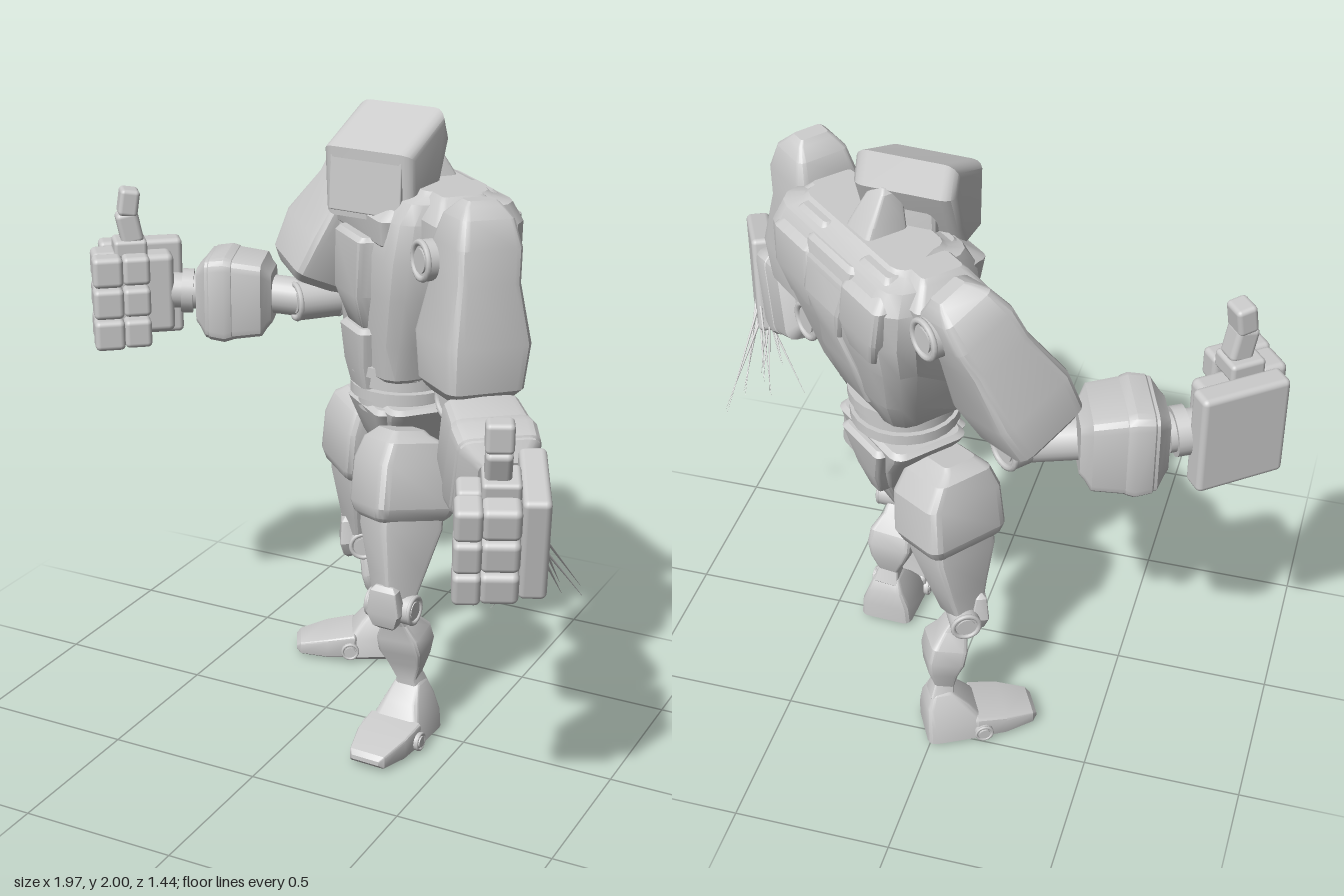
import * as THREE from 'three';
import { toCreasedNormals } from 'three/addons/utils/BufferGeometryUtils.js';
import { RoundedBoxGeometry } from 'three/addons/geometries/RoundedBoxGeometry.js';

const mat = new THREE.MeshStandardMaterial({ color: 0xcccccc });
const V = (p) => new THREE.Vector3(...p);
const UP = [0, 1, 0];

function add(parent, name, geo) {
  const m = new THREE.Mesh(geo, mat);
  m.name = name;
  parent.add(m);
  return m;
}

// Rounded-rectangle loft. Section: [y, halfWidth, zFront, zBack, frontWidthScale, xOffset]
function loft(parent, name, secs, round = 0.3) {
  const bevel = 0.014;
  const inset = (s) => [s[0], s[1] - bevel, s[2] - bevel, s[3] + bevel, s[4], s[5]];
  const a = secs[0], b = secs[secs.length - 1];
  const all = [inset(a), [a[0] + bevel, ...a.slice(1)], ...secs.slice(1, -1), [b[0] - bevel, ...b.slice(1)], inset(b)];
  const rings = all.map(([y, w, zf, zb, fs = 1, x0 = 0]) => {
    const r = round * Math.min(w, (zf - zb) / 2), ring = [];
    for (let q = 0; q < 4; q++) {
      const sx = q === 0 || q === 3 ? 1 : -1, front = q < 2;
      for (let k = 0; k < 4; k++) {
        const t = (q + k / 3) * Math.PI / 2;
        const x = (sx * (w - r) + r * Math.cos(t)) * (front ? fs : 1);
        const z = (front ? zf - r : zb + r) + r * Math.sin(t);
        ring.push([x + x0, y, z]);
      }
    }
    return ring;
  });
  const pos = [], n = 16, tri = (...p) => p.forEach((v) => pos.push(...v));
  const mid = (r) => [0, 1, 2].map((c) => r.reduce((s, p) => s + p[c], 0) / n);
  const lo = rings[0], hi = rings[rings.length - 1];
  for (let i = 0; i < n; i++) {
    const j = (i + 1) % n;
    for (let k = 0; k + 1 < rings.length; k++) {
      const p = rings[k], u = rings[k + 1];
      tri(p[i], u[i], u[j]);
      tri(p[i], u[j], p[j]);
    }
    tri(mid(lo), lo[i], lo[j]);
    tri(mid(hi), hi[j], hi[i]);
  }
  const g = new THREE.BufferGeometry();
  g.setAttribute('position', new THREE.Float32BufferAttribute(pos, 3));
  return add(parent, name, toCreasedNormals(g, 0.5));
}

// Frame with y running from a to b and z towards fwd
function frame(a, b, fwd) {
  const y = V(b).sub(V(a)).normalize();
  const x = y.clone().cross(V(fwd)).normalize();
  return new THREE.Matrix4().makeBasis(x, y, x.clone().cross(y)).setPosition(V(a));
}
// Loft along a limb; section heights are fractions of its length
function bone(parent, name, a, b, fwd, secs) {
  const len = V(a).distanceTo(V(b));
  const m = loft(parent, name, secs.map(([t, ...rest]) => [t * len, ...rest]));
  m.applyMatrix4(frame(a, b, fwd));
}
function rod(parent, name, a, b, r, r2 = r) {
  const len = V(a).distanceTo(V(b));
  const g = new THREE.CylinderGeometry(r2, r, len, 24).translate(0, len / 2, 0);
  const fwd = Math.abs(b[2] - a[2]) > 0.9 * len ? UP : [0, 0, 1];
  add(parent, name, g).applyMatrix4(frame(a, b, fwd));
}
// Pivot disc with a raised rim and hub on both faces
function pivot(parent, name, c, axis, r, len) {
  const d = V(axis).normalize(), at = (k) => V(c).addScaledVector(d, k * len).toArray();
  rod(parent, name, at(-0.5), at(0.5), r);
  rod(parent, name + 'Hub', at(-0.53), at(0.53), r * 0.6);
  for (const k of [-0.5, 0.5]) {
    const rim = add(parent, name + 'Rim', new THREE.TorusGeometry(r * 0.88, r * 0.16, 8, 24));
    rim.position.set(...at(k));
    rim.quaternion.setFromUnitVectors(new THREE.Vector3(0, 0, 1), d);
  }
}
function box(parent, name, size, pos, rx = 0) {
  const m = add(parent, name, new RoundedBoxGeometry(...size, 3, Math.min(...size) * 0.22));
  m.position.set(...pos);
  m.rotation.x = rx;
}

function buildTorso(root) {
  const g = new THREE.Group();
  g.name = 'torso';
  g.position.set(0.18, 0, -0.25);
  g.rotation.y = -0.71;
  root.add(g);
  loft(g, 'chest', [[1.17, 0.18, 0.17, -0.11], [1.3, 0.235, 0.18, -0.16, 0.9], [1.46, 0.3, 0.19, -0.2, 0.82, 0.01],
    [1.58, 0.34, 0.19, -0.23, 0.75, 0.02], [1.7, 0.35, 0.17, -0.225, 0.73, 0.02], [1.76, 0.33, 0.13, -0.19, 0.75, 0.02],
    [1.79, 0.28, 0.08, -0.14, 0.8, 0.02]], 0.5);
  // Keel-shaped breast plate and the collar above it
  loft(g, 'breastPlate', [[1.32, 0.14, 0.2, 0.02, 0.45], [1.44, 0.21, 0.235, 0, 0.45], [1.63, 0.23, 0.23, 0, 0.45]]);
  loft(g, 'collarPlate', [[1.61, 0.25, 0.19, 0, 0.75], [1.7, 0.27, 0.2, -0.05, 0.75], [1.77, 0.22, 0.13, -0.08, 0.8]]);
  for (const s of [-1, 1]) {
    loft(g, 'shoulderPlate', [[1.6, 0.07, 0.1, -0.12, 1, s * 0.29 + 0.01], [1.72, 0.075, 0.1, -0.14, 1, s * 0.295 + 0.01],
      [1.79, 0.06, 0.06, -0.1, 1, s * 0.26]]);
    loft(g, 'upperBackPlate', [[1.5, 0.07, -0.08, -0.22, 1, s * 0.17], [1.6, 0.1, -0.08, -0.24, 1, s * 0.18],
      [1.71, 0.1, -0.08, -0.23, 1, s * 0.19], [1.78, 0.08, -0.06, -0.17, 1, s * 0.17]]);
  }
  loft(g, 'spinePlate', [[1.24, 0.09, -0.03, -0.15], [1.4, 0.1, -0.05, -0.2], [1.5, 0.06, -0.05, -0.225],
    [1.6, 0.11, -0.05, -0.245], [1.76, 0.13, -0.05, -0.21]]);
  loft(g, 'backFin', [[1.7, 0.08, 0.02, -0.16], [1.82, 0.055, 0.02, -0.1], [1.915, 0.035, 0.02, -0.05]]);
  loft(g, 'abdomenPlate', [[1.1, 0.06, 0.19, 0.05], [1.2, 0.075, 0.21, 0.05], [1.33, 0.09, 0.22, 0.05]]);
  [[1.19, 0.175], [1.15, 0.16], [1.11, 0.17]].forEach(([y, r]) =>
    rod(g, 'waistRing', [0, y - 0.017, 0.03], [0, y + 0.017, 0.03], r));
  rod(g, 'waistCore', [0, 1.04, 0.03], [0, 1.22, 0.03], 0.145);
  loft(g, 'pelvis', [[0.84, 0.045, 0.06, -0.06], [0.95, 0.09, 0.11, -0.09], [1.04, 0.165, 0.14, -0.11],
    [1.08, 0.18, 0.145, -0.115]]);
  loft(g, 'pelvisFrontPlate', [[0.85, 0.045, 0.09, 0], [0.95, 0.08, 0.14, 0], [1.07, 0.13, 0.175, 0]]);
  loft(g, 'pelvisBackPlate', [[0.83, 0.03, 0, -0.09], [0.93, 0.06, 0, -0.12], [1.06, 0.11, 0, -0.14]]);
}

function buildHead(root) {
  const g = new THREE.Group();
  g.name = 'head';
  g.position.set(0.125, 0, -0.165);
  g.rotation.y = -0.08;
  root.add(g);
  const profile = new THREE.Shape([[0.09, 1.72], [0.1, 1.88], [-0.07, 1.96], [-0.09, 1.91], [-0.04, 1.79], [-0.01, 1.73]]
    .map((p) => new THREE.Vector2(...p)));
  const helmet = new THREE.ExtrudeGeometry(profile, { depth: 0.23, bevelSize: 0.033, bevelThickness: 0.04, bevelSegments: 4 });
  helmet.translate(0, 0, -0.115).rotateY(-Math.PI / 2);
  add(g, 'helmet', toCreasedNormals(helmet, 0.6));
  box(g, 'visor', [0.25, 0.17, 0.02], [0, 1.79, 0.126], -0.05);
  loft(g, 'cranium', [[1.66, 0.08, 0.05, -0.1], [1.8, 0.09, 0.05, -0.1], [1.92, 0.08, 0.05, -0.09]]);
}

// Fist with raised thumb: local z runs to the knuckles, y to the thumb, s gives the palm side
function buildHand(root, name, c, d, s) {
  const g = new THREE.Group();
  g.name = name;
  const z = V(d).normalize(), x = V(UP).cross(z).normalize();
  g.applyMatrix4(new THREE.Matrix4().makeBasis(x, z.clone().cross(x), z).setPosition(V(c)));
  root.add(g);
  box(g, 'handBackPlate', [0.08, 0.33, 0.28], [-s * 0.045, 0, 0]);
  box(g, 'palm', [0.1, 0.27, 0.2], [s * 0.03, 0, 0]);
  for (let i = 0; i < 3; i++) {
    const y = (i - 1) * 0.108;
    box(g, 'fingerBase', [0.11, 0.1, 0.09], [s * 0.05, y, 0.13]);
    box(g, 'fingerMiddle', [0.08, 0.102, 0.1], [s * 0.14, y, 0.13]);
    box(g, 'fingerTip', [0.075, 0.096, 0.09], [s * 0.135, y, 0.035]);
  }
  box(g, 'thumbBase', [0.11, 0.06, 0.11], [s * 0.05, 0.165, 0.045]);
  box(g, 'thumbMiddle', [0.075, 0.11, 0.075], [s * 0.06, 0.235, 0.045], 0.2);
  box(g, 'thumbTip', [0.08, 0.09, 0.065], [s * 0.06, 0.32, 0.045], -0.15);
}

function buildArm(root, side, p) {
  const F = [-0.65, 0, 0.76];
  pivot(root, side + 'ShoulderPivot', p.shoulder, F, 0.062, 0.2);
  rod(root, side + 'ShoulderAxle', p.socket, p.shoulder, 0.062);
  bone(root, side + 'UpperArm', p.armLow, p.armTop, F, [[0, 0.105, 0.11, -0.11], [0.06, 0.125, 0.125, -0.125],
    [0.3, 0.14, 0.135, -0.135], [0.6, 0.105, 0.105, -0.105], [0.78, 0.105, 0.105, -0.105], [0.92, 0.075, 0.085, -0.085],
    [1, 0.04, 0.06, -0.06]]);
  rod(root, side + 'ElbowLink', p.armLow, p.elbow, 0.06);
  pivot(root, side + 'ElbowPivot', p.elbow, F, 0.065, 0.15);
  rod(root, side + 'ElbowAxle', p.elbow, p.foreA, 0.065);
  bone(root, side + 'Forearm', p.foreA, p.foreB, UP, [[0, 0.09, 0.1, -0.1], [0.12, 0.115, 0.125, -0.125],
    [0.5, 0.122, 0.138, -0.138], [0.85, 0.12, 0.135, -0.135], [1, 0.085, 0.105, -0.105]]);
  bone(root, side + 'ForearmBand', p.foreA, p.foreB, UP, [[0.45, 0.124, 0.14, -0.14], [0.6, 0.13, 0.147, -0.147],
    [0.85, 0.125, 0.14, -0.14]]);
  rod(root, side + 'Wrist', p.foreB, p.hand, 0.06);
  const at = (t) => V(p.foreB).lerp(V(p.hand), t).toArray();
  rod(root, side + 'WristRing', at(0.1), at(0.3), 0.075);
}

function buildLeg(root, side, hip, knee, ankle, fwd) {
  const thighFwd = [-0.6, 0, 0.8];
  rod(root, side + 'HipJoint', [0.17, 0.95, -0.23], [hip[0], 0.92, hip[2]], 0.06);
  bone(root, side + 'Thigh', knee, hip, thighFwd, [[0, 0.055, 0.05, -0.05], [0.2, 0.068, 0.07, -0.08],
    [0.45, 0.09, 0.1, -0.12], [0.7, 0.09, 0.1, -0.12]]);
  bone(root, side + 'ThighArmor', knee, hip, thighFwd, [[0.5, 0.1, 0.12, -0.14], [0.58, 0.115, 0.13, -0.155],
    [0.82, 0.112, 0.125, -0.145], [0.94, 0.1, 0.1, -0.1], [1, 0.075, 0.08, -0.06]]);
  const f = V(fwd).normalize(), axis = V(UP).cross(f).toArray();
  pivot(root, side + 'KneePivot', knee, axis, 0.048, 0.15);
  const plate = (dy, k) => V(knee).addScaledVector(f, k).add(V([0, dy, 0])).toArray();
  bone(root, side + 'KneePlate', plate(-0.06, 0.045), plate(0.09, 0.06), fwd,
    [[0, 0.04, 0.02, -0.02], [0.4, 0.058, 0.028, -0.03], [1, 0.045, 0.015, -0.02]]);
  bone(root, side + 'Shin', ankle, knee, fwd, [[-0.1, 0.045, 0.04, -0.04], [0.1, 0.035, 0.03, -0.035],
    [0.28, 0.06, 0.025, -0.07], [0.45, 0.077, 0.035, -0.085], [0.62, 0.074, 0.035, -0.085], [0.8, 0.045, 0.025, -0.055],
    [1, 0.04, 0.035, -0.035]]);
  const g = new THREE.Group();
  g.name = side + 'Foot';
  g.position.set(ankle[0], 0, ankle[2]);
  g.rotation.y = Math.atan2(fwd[0], fwd[2]);
  root.add(g);
  loft(g, 'heel', [[0.005, 0.09, 0.13, -0.06], [0.08, 0.085, 0.125, -0.06], [0.14, 0.062, 0.08, -0.055],
    [0.2, 0.045, 0.035, -0.035]]);
  bone(g, 'toe', [0, 0.05, 0.09], [0, 0.05, 0.305], UP, [[0, 0.092, 0.05, -0.035], [0.5, 0.087, 0.035, -0.035],
    [1, 0.062, 0.012, -0.03]]);
  pivot(g, 'toeHinge', [0, 0.045, 0.12], [1, 0, 0], 0.03, 0.2);
}

export function createModel() {
  const root = new THREE.Group();
  root.name = 'robot';
  buildTorso(root);
  buildHead(root);

  const right = { socket: [0, 1.66, -0.41], shoulder: [-0.1, 1.69, -0.57], armLow: [-0.31, 1.33, -0.49],
    armTop: [-0.09, 1.83, -0.6], elbow: [-0.28, 1.26, -0.47], foreA: [-0.42, 1.27, -0.43],
    foreB: [-0.66, 1.27, -0.34], hand: [-0.83, 1.28, -0.25] };
  const left = { socket: [0.36, 1.64, -0.08], shoulder: [0.45, 1.64, 0.07], armLow: [0.54, 1.25, 0.12],
    armTop: [0.54, 1.83, 0.09], elbow: [0.5, 1.21, 0.04], foreA: [0.57, 1.17, 0.15],
    foreB: [0.75, 1.08, 0.38], hand: [0.84, 1.03, 0.475] };
  buildArm(root, 'right', right);
  buildArm(root, 'left', left);
  buildHand(root, 'rightHand', right.hand, [-0.78, 0, 0.63], 1);
  buildHand(root, 'leftHand', left.hand, [0.42, -0.22, 0.88], -1);

  // Fine bristles trailing from the left hand
  for (let i = 0; i < 12; i++) {
    const a = [0.9 - (i % 4) * 0.02, 0.92 + (i % 3) * 0.06, 0.44 - (i % 2) * 0.05];
    const b = [0.7 + ((i * 5) % 12) * 0.02, 0.66 + ((i * 7) % 12) * 0.015, 0.3 - ((i * 3) % 8) * 0.035];
    rod(root, 'bristle', a, b, 0.006, 0.0005);
  }

  buildLeg(root, 'right', [0, 1.03, -0.33], [-0.06, 0.46, -0.39], [-0.015, 0.18, -0.47], [-0.88, 0, 0.47]);
  buildLeg(root, 'left', [0.25, 1.03, -0.05], [0.28, 0.48, 0.08], [0.31, 0.18, 0], [-0.05, 0, 1]);
  return root;
}
